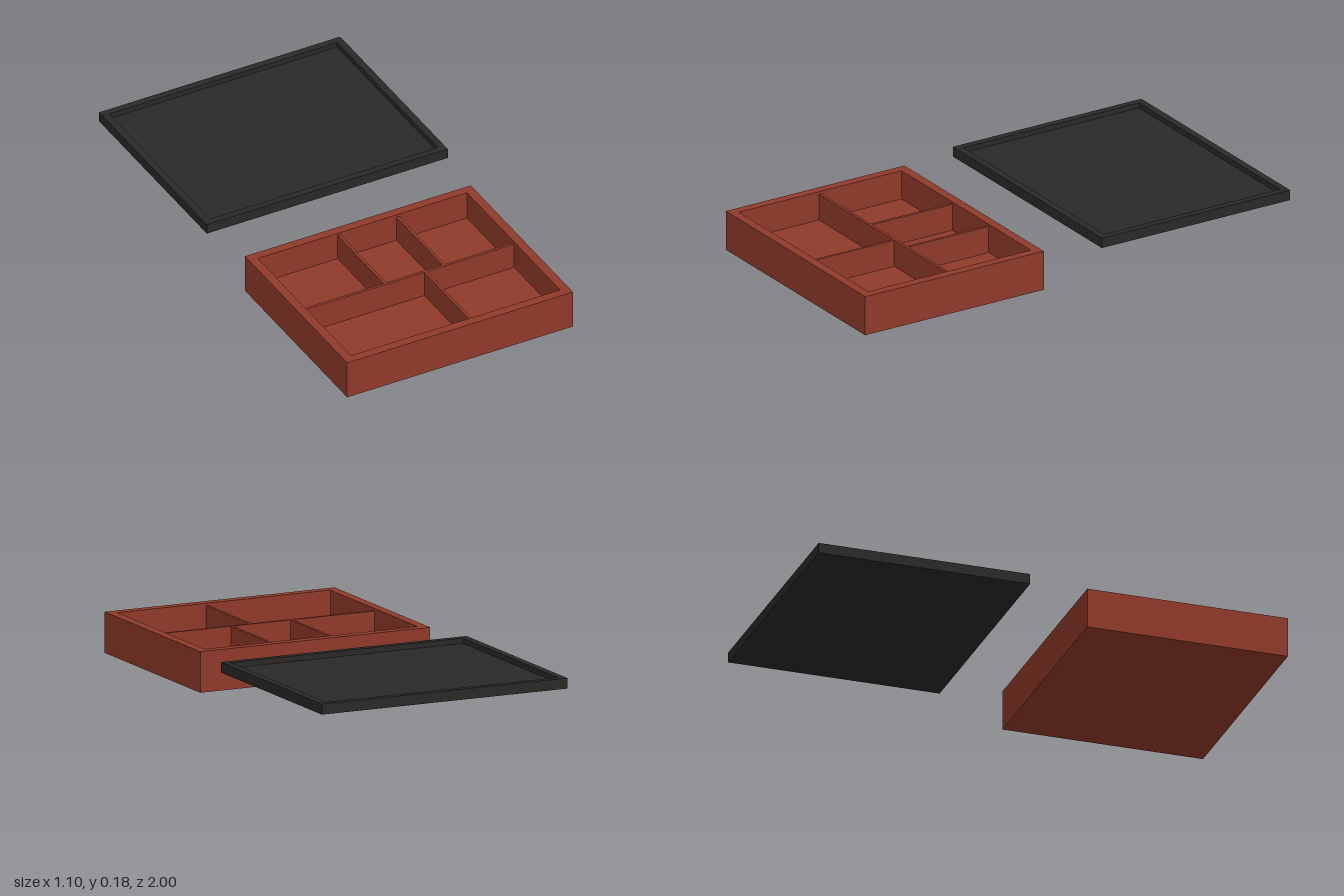
import * as THREE from 'three';

const red = new THREE.MeshStandardMaterial({ color: 0x8f3a29 });
const black = new THREE.MeshStandardMaterial({ color: 0x2a2928 });

function box(name, material, x0, x1, y0, y1, z0, z1) {
  const mesh = new THREE.Mesh(new THREE.BoxGeometry(x1 - x0, y1 - y0, z1 - z0), material);
  mesh.position.set((x0 + x1) / 2, (y0 + y1) / 2, (z0 + z1) / 2);
  mesh.name = name;
  return mesh;
}

function rectangle(target, w, d) {
  target.moveTo(-w / 2, -d / 2);
  target.lineTo(w / 2, -d / 2);
  target.lineTo(w / 2, d / 2);
  target.lineTo(-w / 2, d / 2);
  target.closePath();
  return target;
}

// Open tray: a rim with a rectangular hole, closed below by a floor slab
function tray(name, material, { width, depth, wall, bottom, floor, top, z }) {
  const group = new THREE.Group();
  group.name = name;
  const shape = rectangle(new THREE.Shape(), width, depth);
  shape.holes.push(rectangle(new THREE.Path(), width - 2 * wall, depth - 2 * wall));
  const geometry = new THREE.ExtrudeGeometry(shape, { depth: top - bottom, bevelEnabled: false });
  geometry.rotateX(-Math.PI / 2);
  const rim = new THREE.Mesh(geometry, material);
  rim.name = name + 'Walls';
  rim.position.set(0, bottom, z);
  const w = width / 2 - wall, d = depth / 2 - wall;
  group.add(rim, box(name + 'Floor', material, -w, w, bottom, floor, z - d, z + d));
  return group;
}

export function createModel() {
  const model = new THREE.Group();
  model.name = 'compartmentBoxWithLid';

  // Compartment box
  const base = tray('box', red, {
    width: 1.03, depth: 0.85, wall: 0.038, bottom: 0, floor: 0.045, top: 0.168, z: 0.575,
  });
  const t = 0.006, y0 = 0.045, y1 = 0.158;
  const innerX = 0.477, backZ = 0.188, frontZ = 0.962, midZ = 0.575;
  base.add(box('longDivider', red, -innerX, innerX, y0, y1, midZ - t, midZ + t));
  // Three compartments at the back, two at the front
  for (const x of [-0.107, 0.161]) {
    base.add(box('backDivider', red, x - t, x + t, y0, y1, backZ, midZ - t));
  }
  base.add(box('frontDivider', red, 0.073 - t, 0.073 + t, y0, y1, midZ + t, frontZ));

  // Lid lying upturned behind the box
  const lid = tray('lid', black, {
    width: 1.1, depth: 0.896, wall: 0.03, bottom: 0.135, floor: 0.156, top: 0.178, z: -0.552,
  });

  model.add(base, lid);
  return model;
}
